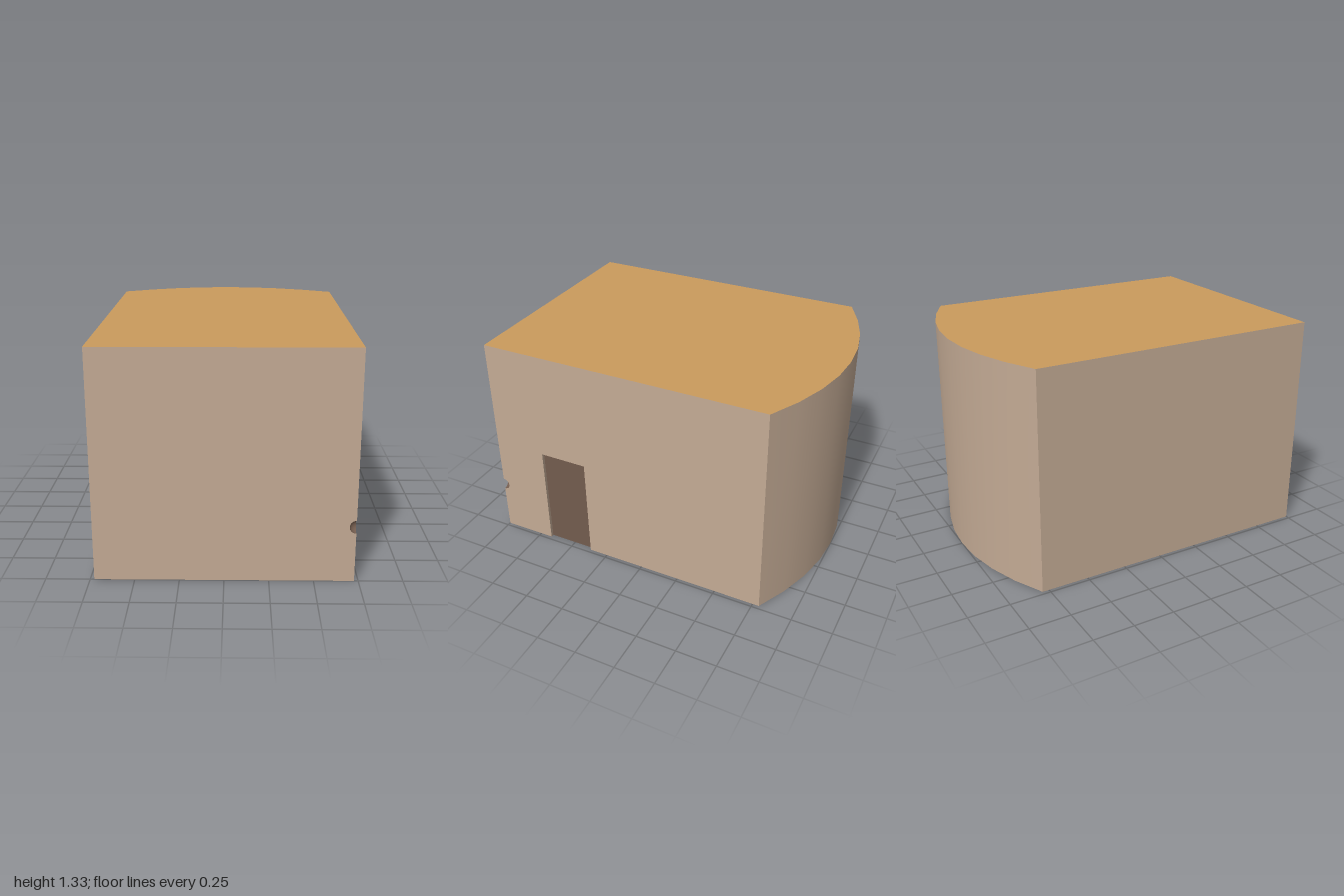
import * as THREE from 'three';

const W = 0.727, H = 1.333;          // half width, height
const FRONT = 1, BACK = -0.79;       // ends of the straight side walls
const BULGE = 0.21;                  // depth of the curved back wall
const DOOR = { near: 0.67, far: 0.37, top: 0.655, depth: 0.02 };
const HOLLOW = { y: 0.328, r: 0.038 };

const backZ = (x) => BACK - BULGE * (1 - (x / W) ** 2);

export function createModel() {
  const group = new THREE.Group();
  const material = (name, color) =>
    new THREE.MeshStandardMaterial({ name, color, side: THREE.DoubleSide });
  const plaster = material('plaster', 0xc4ab95);
  const ochre = material('ochreRoof', 0xcb9b5d);
  const brown = material('darkBrown', 0x735c4e);

  const add = (name, geometry, mat, x = 0, y = 0, z = 0) => {
    const mesh = new THREE.Mesh(geometry, mat);
    mesh.name = name;
    mesh.position.set(x, y, z);
    group.add(mesh);
    return mesh;
  };

  // Front wall, with a half-round bite at the corner
  const front = new THREE.Shape();
  front.moveTo(-W, 0);
  front.lineTo(W, 0);
  front.absarc(W, HOLLOW.y, HOLLOW.r, -Math.PI / 2, Math.PI / 2, true);
  front.lineTo(W, H);
  front.lineTo(-W, H);
  add('frontWall', new THREE.ShapeGeometry(front, 16), plaster, 0, 0, FRONT);

  // Door-side wall, drawn along -z, with the doorway and the same bite
  const side = new THREE.Shape();
  side.moveTo(-FRONT, 0);
  side.lineTo(-DOOR.near, 0);
  side.lineTo(-DOOR.near, DOOR.top);
  side.lineTo(-DOOR.far, DOOR.top);
  side.lineTo(-DOOR.far, 0);
  side.lineTo(-BACK, 0);
  side.lineTo(-BACK, H);
  side.lineTo(-FRONT, H);
  side.absarc(-FRONT, HOLLOW.y, HOLLOW.r, Math.PI / 2, -Math.PI / 2, true);
  add('doorWall', new THREE.ShapeGeometry(side, 16).rotateY(Math.PI / 2), plaster, W);

  // Plain wall on the opposite side
  add('plainWall', new THREE.PlaneGeometry(FRONT - BACK, H).rotateY(-Math.PI / 2),
    plaster, -W, H / 2, (FRONT + BACK) / 2);

  // Back wall: a plane bent along a parabola
  const back = new THREE.PlaneGeometry(2 * W, H, 8, 1).rotateY(Math.PI);
  const pos = back.attributes.position;
  for (let i = 0; i < pos.count; i++) pos.setZ(i, backZ(pos.getX(i)));
  back.computeVertexNormals();
  add('curvedBackWall', back, plaster, 0, H / 2, 0);

  // Flat roof following the curved back
  const roof = new THREE.Shape();
  roof.moveTo(-W, -FRONT);
  roof.lineTo(W, -FRONT);
  for (let i = 0; i <= 8; i++) {
    const x = W - (i / 8) * 2 * W;
    roof.lineTo(x, -backZ(x));
  }
  add('roof', new THREE.ShapeGeometry(roof).rotateX(-Math.PI / 2), ochre, 0, H, 0);

  // Recessed door with its reveals
  const doorWidth = DOOR.near - DOOR.far, doorZ = (DOOR.near + DOOR.far) / 2;
  const revealX = W - DOOR.depth / 2;
  add('door', new THREE.PlaneGeometry(doorWidth, DOOR.top).rotateY(Math.PI / 2),
    brown, W - DOOR.depth, DOOR.top / 2, doorZ);
  for (const [name, z, turn] of [['doorJambNear', DOOR.near, Math.PI], ['doorJambFar', DOOR.far, 0]]) {
    add(name, new THREE.PlaneGeometry(DOOR.depth, DOOR.top).rotateY(turn),
      plaster, revealX, DOOR.top / 2, z);
  }
  add('doorLintel', new THREE.PlaneGeometry(DOOR.depth, doorWidth).rotateX(Math.PI / 2),
    plaster, revealX, DOOR.top, doorZ);

  // Quarter-sphere hollow in the corner
  add('cornerHollow',
    new THREE.SphereGeometry(HOLLOW.r, 10, 20, Math.PI * 1.5, Math.PI / 2),
    brown, W, HOLLOW.y, FRONT);

  return group;
}
